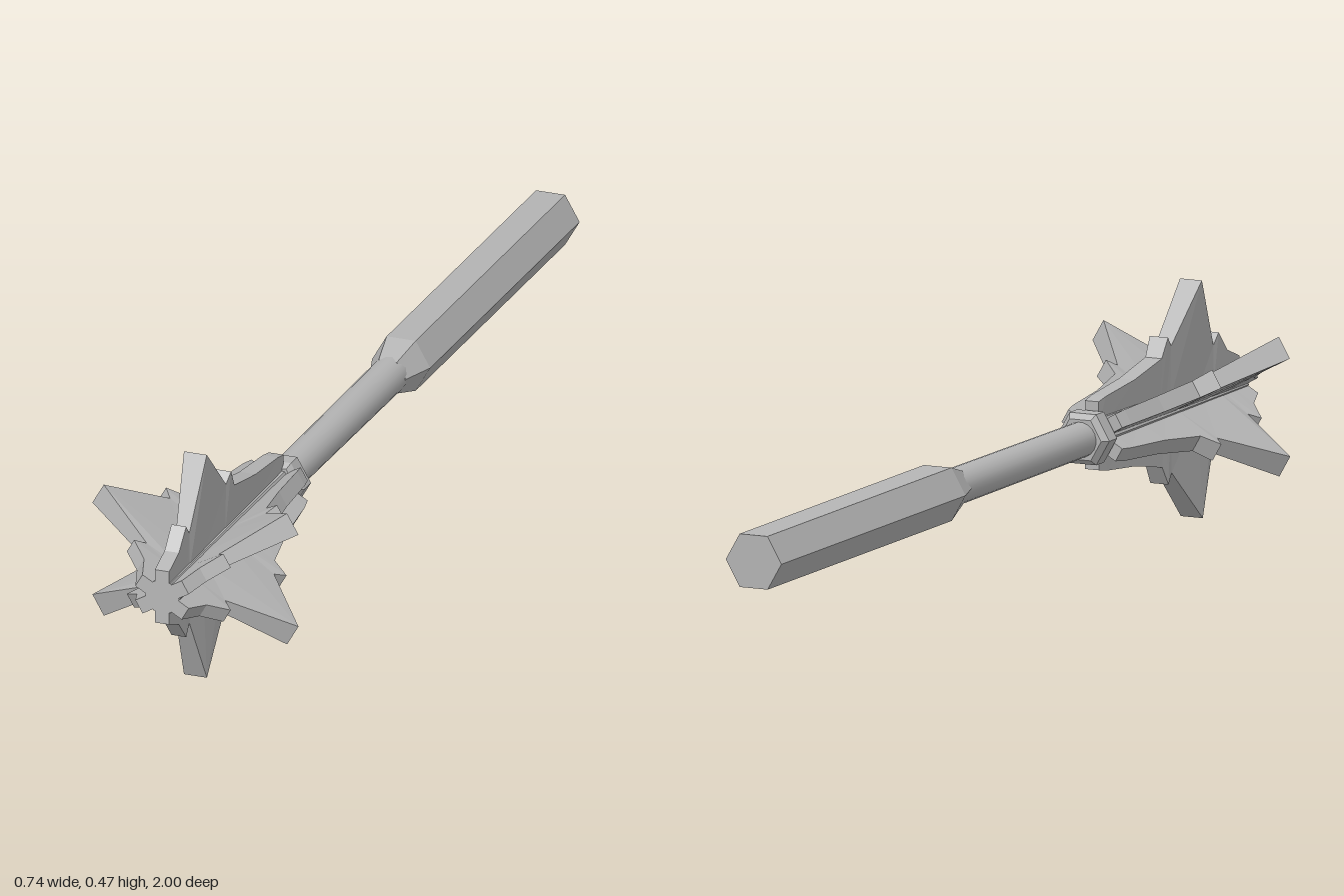
import * as THREE from 'three';

const steel = new THREE.MeshStandardMaterial({ color: 0xb4b4b4, flatShading: true });
steel.name = 'grey steel';
const smoothSteel = new THREE.MeshStandardMaterial({ color: 0xb4b4b4 });
smoothSteel.name = 'grey steel smooth';

// Prism or cone lying along z, from z0 (radius r0) to z1 (radius r1)
function rod(name, z0, z1, r0, r1, sides = 6, material = steel, open = false) {
  const geo = new THREE.CylinderGeometry(r1, r0, z1 - z0, sides, 1, open, Math.PI / 6);
  geo.rotateX(Math.PI / 2).translate(0, 0, (z0 + z1) / 2);
  const mesh = new THREE.Mesh(geo, material);
  mesh.name = name;
  return mesh;
}

// Flange outline: distance along the axis, radius, edge thickness
const outline = [
  [0.42, 0.068, 0.03],
  [0.45, 0.074, 0.032],
  [0.57, 0.086, 0.034],
  [0.683, 0.108, 0.036],
  [0.706, 0.146, 0.04],
  [0.725, 0.126, 0.034],
  [0.843, 0.236, 0.048],
  [0.91, 0.095, 0.028],
  [0.93, 0.117, 0.031],
  [0.967, 0.076, 0.03],
  [1.018, 0.056, 0.03],
];

// Four-cornered sections joined along the axis, radiating towards +y
function flangeGeometry() {
  const inner = 0.015;
  const sections = outline.map(([z, r, w]) => [
    [-w / 2, r, z], [w / 2, r, z], [inner, 0.02, z], [-inner, 0.02, z],
  ]);
  const positions = [];
  const quad = (a, b, c, d) => positions.push(...a, ...b, ...c, ...a, ...c, ...d);
  for (let i = 0; i < sections.length - 1; i++) {
    const s = sections[i], t = sections[i + 1];
    for (let k = 0; k < 4; k++) {
      const n = (k + 1) % 4;
      quad(s[k], t[k], t[n], s[n]);
    }
  }
  quad(...sections[0]);
  quad(...sections[sections.length - 1].slice().reverse());
  const geo = new THREE.BufferGeometry();
  geo.setAttribute('position', new THREE.Float32BufferAttribute(positions, 3));
  geo.computeVertexNormals();
  return geo;
}

export function createModel() {
  const mace = new THREE.Group();
  mace.name = 'mace';

  // Six-sided grip narrowing into a round shaft
  mace.add(rod('grip', -1.018, -0.235, 0.061, 0.061));
  mace.add(rod('gripShoulder', -0.235, -0.165, 0.061, 0.038));
  mace.add(rod('shaft', -0.19, 0.39, 0.037, 0.035, 20, smoothSteel, true));

  // Bevelled collar below the head
  mace.add(rod('collarBevel', 0.37, 0.382, 0.046, 0.058));
  mace.add(rod('collar', 0.382, 0.415, 0.058, 0.058));
  mace.add(rod('collarTop', 0.415, 0.428, 0.058, 0.048));

  // Head: core with six toothed flanges
  const head = new THREE.Group();
  head.name = 'head';
  head.add(rod('core', 0.42, 1.018, 0.042, 0.036));
  const geo = flangeGeometry();
  for (let i = 0; i < 6; i++) {
    const flange = new THREE.Mesh(geo, steel);
    flange.name = 'flange' + (i + 1);
    flange.rotation.z = i * Math.PI / 3;
    head.add(flange);
  }
  mace.add(head);

  // Lay the weapon at its resting angle
  mace.rotation.set(-0.0368, 0.2533, 0.015, 'YXZ');
  mace.position.set(-0.055, 0.2075, 0);
  const model = new THREE.Group();
  model.name = 'model';
  model.add(mace);
  return model;
}
